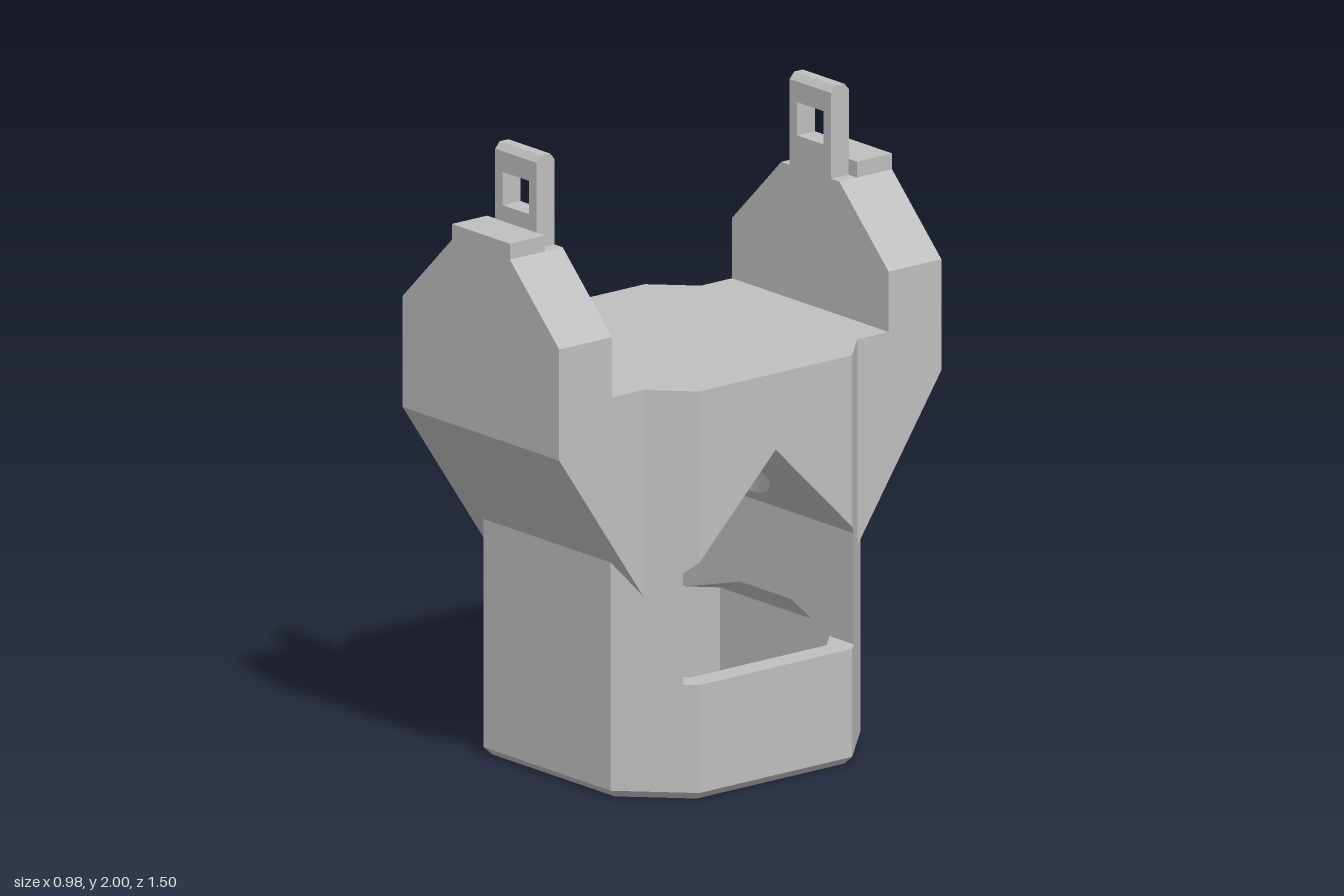
import * as THREE from 'three';

const grey = new THREE.MeshStandardMaterial({ color: 0xbfbfbf, flatShading: true, side: THREE.DoubleSide });
grey.name = 'plain grey';

function mesh(name, geometry, parent) {
  const m = new THREE.Mesh(geometry, grey);
  m.name = name;
  parent.add(m);
  return m;
}

const toShape = (pts) => new THREE.Shape(pts.map(([a, b]) => new THREE.Vector2(a, b)));

// Profile of [x, y] points, extruded from z0 to z1
function extrudeZ(pts, z0, z1, hole) {
  const s = toShape(pts);
  if (hole) s.holes.push(toShape(hole));
  return new THREE.ExtrudeGeometry(s, { depth: z1 - z0, bevelEnabled: false }).translate(0, 0, z0);
}

// Profile of [z, y] points, extruded across x from -w to w
const extrudeX = (pts, w) => extrudeZ(pts, -w, w).rotateY(-Math.PI / 2);

// Skin between equal-length closed rings of [x, y, z] points
function loft(rings) {
  const n = rings[0].length, pos = rings.flat(2), idx = [];
  for (let r = 0; r < rings.length - 1; r++) {
    for (let i = 0; i < n; i++) {
      const j = (i + 1) % n, a = r * n + i, b = r * n + j;
      idx.push(a, a + n, b, b, a + n, b + n);
    }
  }
  const g = new THREE.BufferGeometry();
  g.setAttribute('position', new THREE.Float32BufferAttribute(pos, 3));
  g.setIndex(idx);
  g.computeVertexNormals();
  return g;
}

// Square with cut corners, inset evenly from the outer wall
function octagon(h, y) {
  const c = 0.30 - 0.414 * (0.49 - h);
  return [[h, c], [c, h], [-c, h], [-h, c], [-h, -c], [-c, -h], [c, -h], [h, -c]].map(([x, z]) => [x, y, z]);
}

// Round socket in the gable ceiling: straight wall with a conical roof
const ROOF = 1.2, STEEP = 1.1, RIDGE = 1.05;
function socketPoint(t) {
  const s = Math.abs(Math.sin(t));
  const d = STEEP - s;
  const r = Math.min(0.295, (ROOF - RIDGE) / Math.max(d, 0.01));
  return { r, x: r * Math.cos(t), z: r * Math.sin(t) };
}

export function createModel() {
  const model = new THREE.Group();
  model.name = 'clipHolder';

  // Hollow base with bevelled foot and a small step inside the opening
  mesh('baseRing', loft([
    octagon(0.465, 0), octagon(0.49, 0.025), octagon(0.49, 0.365), octagon(0.41, 0.365),
    octagon(0.41, 0.03), octagon(0.43, 0.03), octagon(0.43, 0), octagon(0.465, 0),
  ]), model);

  // Middle of the top block: deck and gable-shaped end faces
  mesh('deck', new THREE.PlaneGeometry(0.98, 0.6).rotateX(-Math.PI / 2).translate(0, 1.29, 0), model);
  const gable = [[-0.3, 1.29], [-0.3, 0.75], [0, RIDGE], [0.3, 0.75], [0.3, 1.29]];
  for (const x of [-0.49, 0.49]) {
    mesh('gableFace', new THREE.ShapeGeometry(toShape(gable)).rotateY(-Math.PI / 2).translate(x, 0, 0), model);
  }

  // Socket interior
  const rings = [[], [], []];
  for (let i = 0; i < 64; i++) {
    const p = socketPoint((i / 64) * Math.PI * 2);
    rings[0].push([p.x, RIDGE - Math.abs(p.z), p.z]);
    rings[1].push([p.x, ROOF - STEEP * p.r, p.z]);
    rings[2].push([0, ROOF, 0]);
  }
  mesh('socket', loft(rings), model);

  // Each half: ceiling slope, wall, arm and clip; the second is turned half round
  for (const turn of [0, Math.PI]) {
    const half = new THREE.Group();
    half.name = turn ? 'backHalf' : 'frontHalf';
    half.rotation.y = turn;
    model.add(half);

    // Sloping window ceiling with the socket cut out of it
    const outline = [[0.49, 0], [0.49, 0.3], [-0.49, 0.3], [-0.49, 0]];
    for (let i = 32; i >= 0; i--) {
      const p = socketPoint((i / 32) * Math.PI);
      outline.push([p.x, Math.max(0, p.z)]);
    }
    const slope = new THREE.ShapeGeometry(toShape(outline));
    const sp = slope.attributes.position;
    for (let i = 0; i < sp.count; i++) sp.setXYZ(i, sp.getX(i), RIDGE - sp.getY(i), sp.getY(i));
    slope.computeVertexNormals();
    mesh('ceilingSlope', slope, half);

    // Wall whose width narrows outward to form the cut corners
    const wall = extrudeX([[0.3, 1.29], [0.3, 0.75], [0.335, 0.715], [0.335, 0.44], [0.49, 0.44], [0.49, 1.29]], 1);
    const wp = wall.attributes.position;
    for (let i = 0; i < wp.count; i++) wp.setX(i, wp.getX(i) * (0.79 - wp.getZ(i)));
    wall.computeVertexNormals();
    mesh('wall', wall, half);

    // Foot of the wall, hollowed by the top of the base cavity
    const foot = (y, a, b, z) => [
      [0.455, 0.335], [0.3, 0.49], [-0.3, 0.49], [-0.455, 0.335], [-a, 0.335], [-b, z], [b, z], [a, 0.335],
    ].map(([x, zz]) => [x, y, zz]);
    mesh('wallFoot', loft([foot(0.365, 0.342, 0.267, 0.41), foot(0.44, 0.16, 0.08, 0.336)]), half);

    // Arm: wedge bracket below, tapered plate above
    mesh('armBracket', extrudeX([[0.42, 0.64], [0.75, 1.13], [0.75, 1.29], [0.42, 1.29]], 0.37), half);
    mesh('armPlate', extrudeZ([
      [-0.37, 1.29], [0.37, 1.29], [0.37, 1.48], [0.137, 1.71], [-0.137, 1.71], [-0.37, 1.48],
    ], 0.543, 0.75), half);
    mesh('armCap', new THREE.BoxGeometry(0.274, 0.05, 0.138).translate(0, 1.735, 0.681), half);

    // Clip: upright tab with a square hole and a bevelled top
    mesh('clip', extrudeZ(
      [[-0.098, 1.71], [0.098, 1.71], [0.098, 1.98], [-0.098, 1.98]], 0.543, 0.613,
      [[-0.062, 1.81], [-0.062, 1.915], [0.062, 1.915], [0.062, 1.81]],
    ), half);
    mesh('clipTop', extrudeX([[0.543, 1.98], [0.613, 1.98], [0.595, 2], [0.561, 2]], 0.098), half);
  }
  return model;
}
